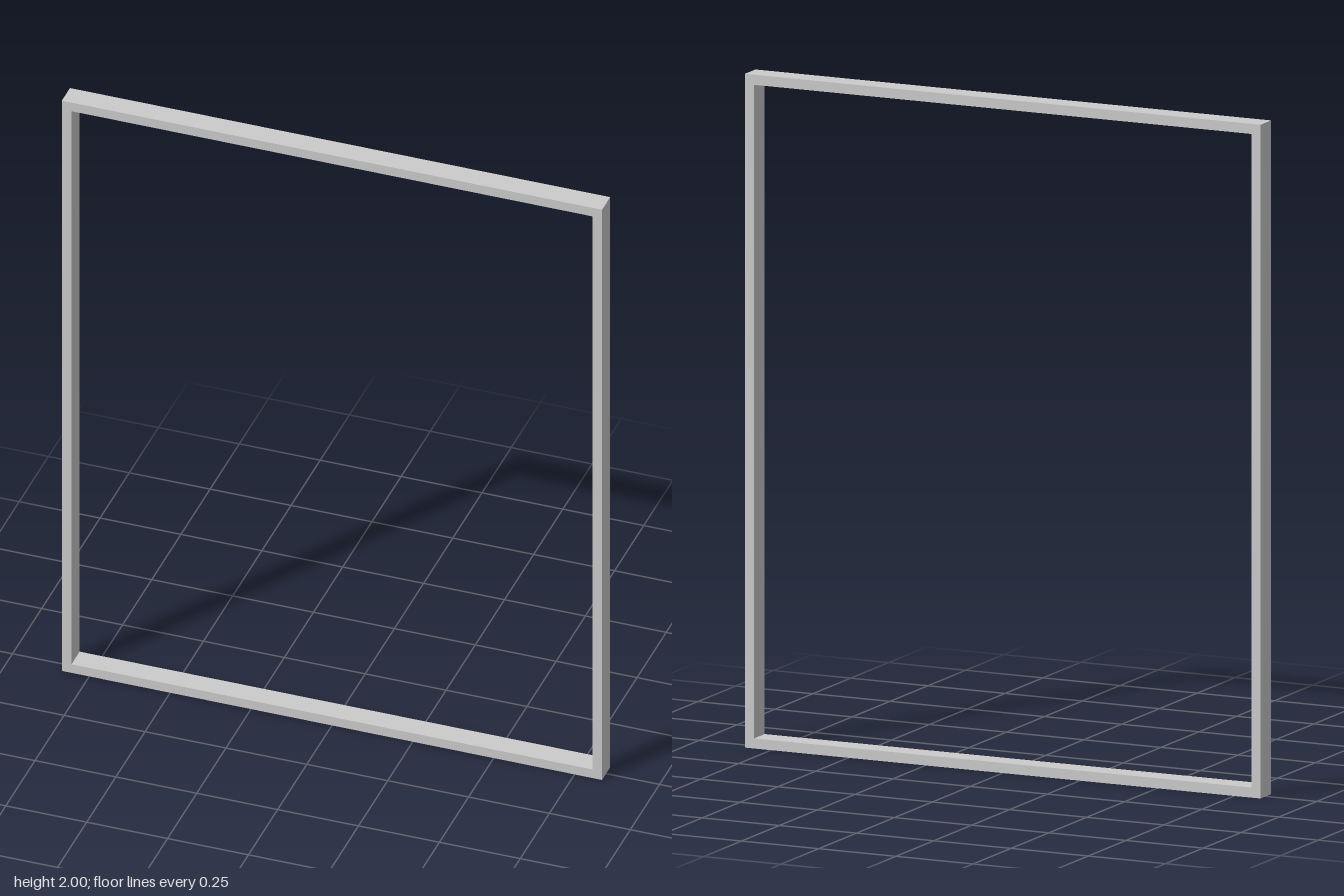
import * as THREE from 'three';

const WIDTH = 1.67, HEIGHT = 2, DEPTH = 0.07, BAR = 0.03;

// Adds a rectangle, inset from the outer outline, to a path
function rectangle(path, inset) {
  const x = WIDTH / 2 - inset, bottom = inset, top = HEIGHT - inset;
  path.moveTo(-x, bottom);
  path.lineTo(x, bottom);
  path.lineTo(x, top);
  path.lineTo(-x, top);
  path.closePath();
  return path;
}

export function createModel() {
  const group = new THREE.Group();
  group.name = 'rectangularFrame';

  // Slim square-edged frame around an open rectangle
  const outline = rectangle(new THREE.Shape(), 0);
  outline.holes.push(rectangle(new THREE.Path(), BAR));
  const geometry = new THREE.ExtrudeGeometry(outline, { depth: DEPTH, bevelEnabled: false });
  geometry.translate(0, 0, -DEPTH / 2);

  const frame = new THREE.Mesh(geometry, new THREE.MeshStandardMaterial({ color: 0xcccccc }));
  frame.name = 'frame';
  group.add(frame);
  return group;
}
